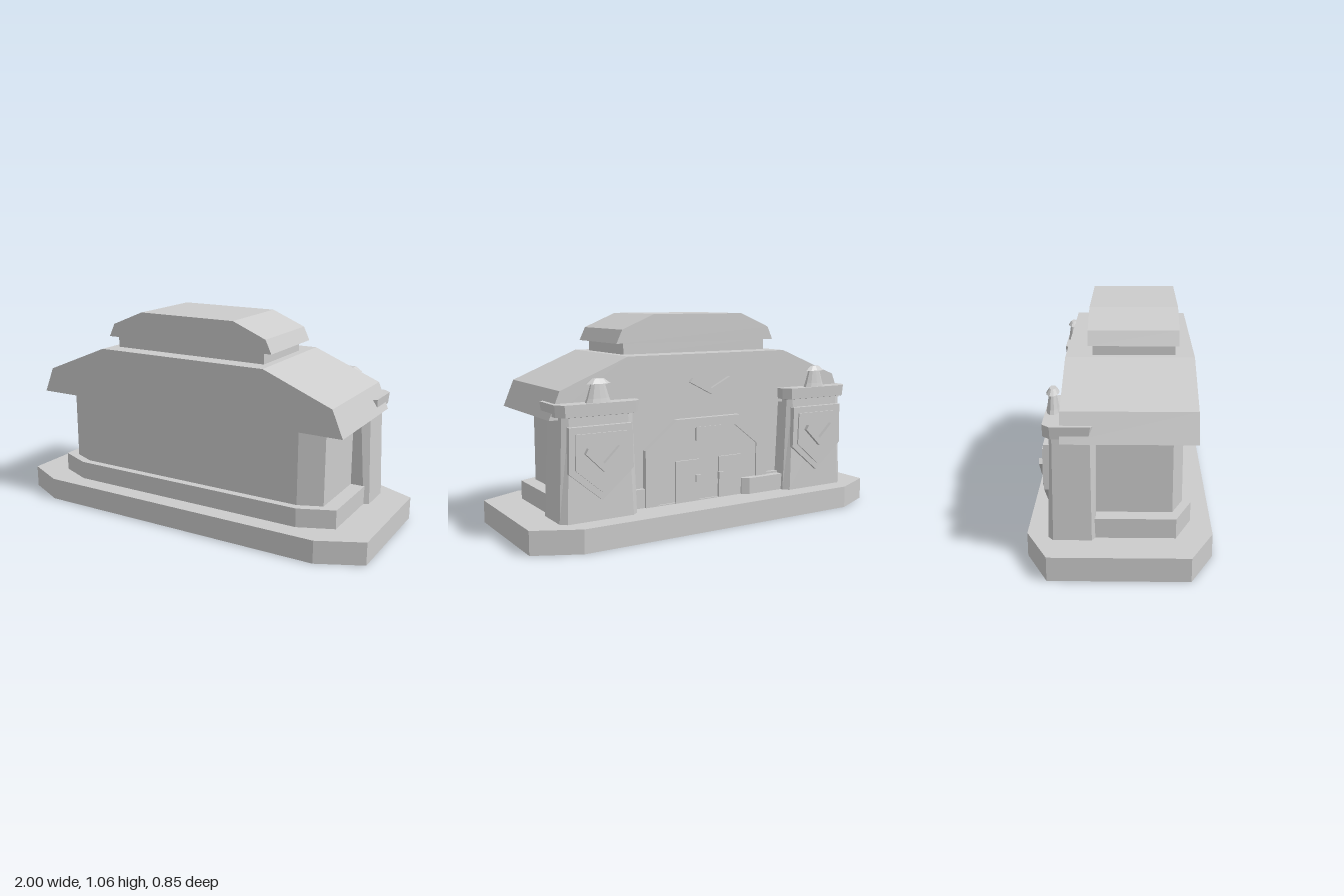
import * as THREE from 'three';

const stone = new THREE.MeshStandardMaterial({ color: 0xcccccc, side: THREE.DoubleSide, flatShading: true });
stone.name = 'grey stone';

function add(parent, name, geometry) {
  const mesh = new THREE.Mesh(geometry, stone);
  mesh.name = name;
  parent.add(mesh);
  return mesh;
}

// Open-bottomed solid through convex rings of [x, z], each at its own height
function loft(rings, heights) {
  const pos = [];
  const put = (r, i) => {
    const p = rings[r][i % rings[r].length];
    pos.push(p[0], heights[r], p[1]);
  };
  const n = rings[0].length, last = rings.length - 1;
  for (let r = 0; r < last; r++) {
    for (let i = 0; i < n; i++) {
      put(r, i); put(r + 1, i); put(r, i + 1);
      put(r + 1, i); put(r + 1, i + 1); put(r, i + 1);
    }
  }
  for (let i = 1; i < n - 1; i++) { put(last, 0); put(last, i + 1); put(last, i); }
  const g = new THREE.BufferGeometry();
  g.setAttribute('position', new THREE.Float32BufferAttribute(pos, 3));
  g.computeVertexNormals();
  return g;
}

// Rectangle footprint: corners cut by fx, fz at the front and bx, bz at the back
function footprint(x, zFront, zBack, fx, fz, bx, bz) {
  return [
    [x, zBack + bz], [x, zFront - fz], [x - fx, zFront], [-x + fx, zFront],
    [-x, zFront - fz], [-x, zBack + bz], [-x + bx, zBack], [x - bx, zBack],
  ];
}

// Plate with an xy outline, filling z from z0 to z1
function plate(points, z0, z1, hole) {
  const shape = new THREE.Shape(points.map(p => new THREE.Vector2(...p)));
  if (hole) shape.holes.push(new THREE.Path(hole.map(p => new THREE.Vector2(...p))));
  const g = new THREE.ExtrudeGeometry(shape, { depth: z1 - z0, bevelEnabled: false });
  return g.translate(0, 0, z0);
}

// Completes a right-hand outline (bottom to top) with its mirror image
const mirrored = half => [...half, ...half.filter(p => p[0] !== 0).reverse().map(([x, y]) => [-x, y])];

function box(x0, x1, y0, y1, z0, z1) {
  return new THREE.BoxGeometry(x1 - x0, y1 - y0, z1 - z0)
    .translate((x0 + x1) / 2, (y0 + y1) / 2, (z0 + z1) / 2);
}

// V-shaped emblem bar
const chevron = (w, y0, y1, t, z0, z1) => plate([
  [0, y0], [w, y1 - t * 0.6], [w * 0.85, y1], [0, y0 + t], [-w * 0.85, y1], [-w, y1 - t * 0.6],
], z0, z1);

function createPillar(x) {
  const pillar = new THREE.Group();
  pillar.name = 'pillar';

  // Tapered shaft with cut corners
  add(pillar, 'pillarShaft', loft([
    footprint(0.2, -0.11, -0.325, 0.025, 0.015, 0.03, 0.025),
    footprint(0.18, -0.105, -0.312, 0.04, 0.025, 0.03, 0.015),
  ], [0.115, 0.605]));

  // Overhanging cap, closed underneath
  const capRing = footprint(0.215, -0.115, -0.338, 0.02, 0.01, 0.035, 0.035);
  add(pillar, 'pillarCap', loft([
    footprint(0.17, -0.13, -0.305, 0.02, 0.01, 0.03, 0.02),
    footprint(0.21, -0.125, -0.336, 0.02, 0.01, 0.035, 0.035),
    capRing,
  ], [0.602, 0.608, 0.665]));

  // Oval finial
  const finial = add(pillar, 'finial', new THREE.LatheGeometry([
    [0.032, 0.66], [0.027, 0.685], [0.017, 0.752], [0.03, 0.752], [0.015, 0.775], [0, 0.775],
  ].map(p => new THREE.Vector2(...p)), 10));
  finial.scale.x = 2.1;
  finial.position.z = -0.303;

  // Layered shield with emblem
  add(pillar, 'shield', plate(mirrored([[0, 0.213], [0.165, 0.35], [0.16, 0.562]]), -0.337, -0.3));
  add(pillar, 'shieldFace', plate(mirrored([[0, 0.25], [0.135, 0.365], [0.13, 0.53]]), -0.345, -0.33));
  add(pillar, 'shieldEmblem', chevron(0.093, 0.35, 0.465, 0.04, -0.365, -0.344));

  pillar.position.x = x;
  return pillar;
}

export function createModel() {
  const model = new THREE.Group();
  model.name = 'building';

  // Hollow base slab, plinth and walls
  const slab = footprint(1, 0.425, -0.425, 0.22, 0.108, 0.22, 0.108);
  add(model, 'baseSlab', loft([slab, slab], [0, 0.115]));
  const plinth = footprint(0.82, 0.33, -0.245, 0.175, 0.075, 0.02, 0.02);
  add(model, 'plinth', loft([plinth, plinth], [0.115, 0.21]));
  const walls = footprint(0.748, 0.29, -0.225, 0.118, 0.05, 0.02, 0.02);
  add(model, 'walls', loft([walls, walls], [0.21, 0.6]));

  // Main roof, neck and upper roof
  add(model, 'mainRoof', plate(mirrored([[0.87, 0.59], [0.815, 0.722], [0.465, 0.865]]), -0.26, 0.345));
  add(model, 'roofNeck', box(-0.425, 0.425, 0.86, 0.922, -0.135, 0.255));
  add(model, 'upperRoof', plate(mirrored([[0.472, 0.92], [0.44, 0.987], [0.265, 1.06]]), -0.155, 0.272));
  add(model, 'roofEmblem', chevron(0.13, 0.66, 0.745, 0.03, -0.277, -0.259));

  // Entrance bay with stepped frame
  const bay = mirrored([[0.37, 0.115], [0.37, 0.4], [0.19, 0.54]]);
  const opening = mirrored([[0.3, 0.12], [0.3, 0.38], [0.16, 0.49]]);
  add(model, 'entranceFrame', plate(bay, -0.254, -0.22, opening));
  add(model, 'entrancePanel', plate(bay, -0.246, -0.22));
  add(model, 'entranceSign', box(-0.08, 0.08, 0.425, 0.495, -0.259, -0.24));

  // Door leaves and handles
  for (const s of [1, -1]) {
    const door = add(model, 'door', box(-0.07, 0.07, 0.115, 0.33, -0.256, -0.24));
    door.position.x = s * 0.13;
    const handle = add(model, 'doorHandle', box(-0.015, 0.015, 0.215, 0.25, -0.268, -0.25));
    handle.position.x = s * 0.07;
    model.add(createPillar(s * 0.645));
  }

  // Low ledge beside the door
  const ledge = [[-0.2, -0.262], [-0.2, -0.23], [-0.46, -0.23], [-0.46, -0.285], [-0.235, -0.285]];
  add(model, 'ledge', loft([ledge, ledge], [0.115, 0.2]));

  return model;
}
